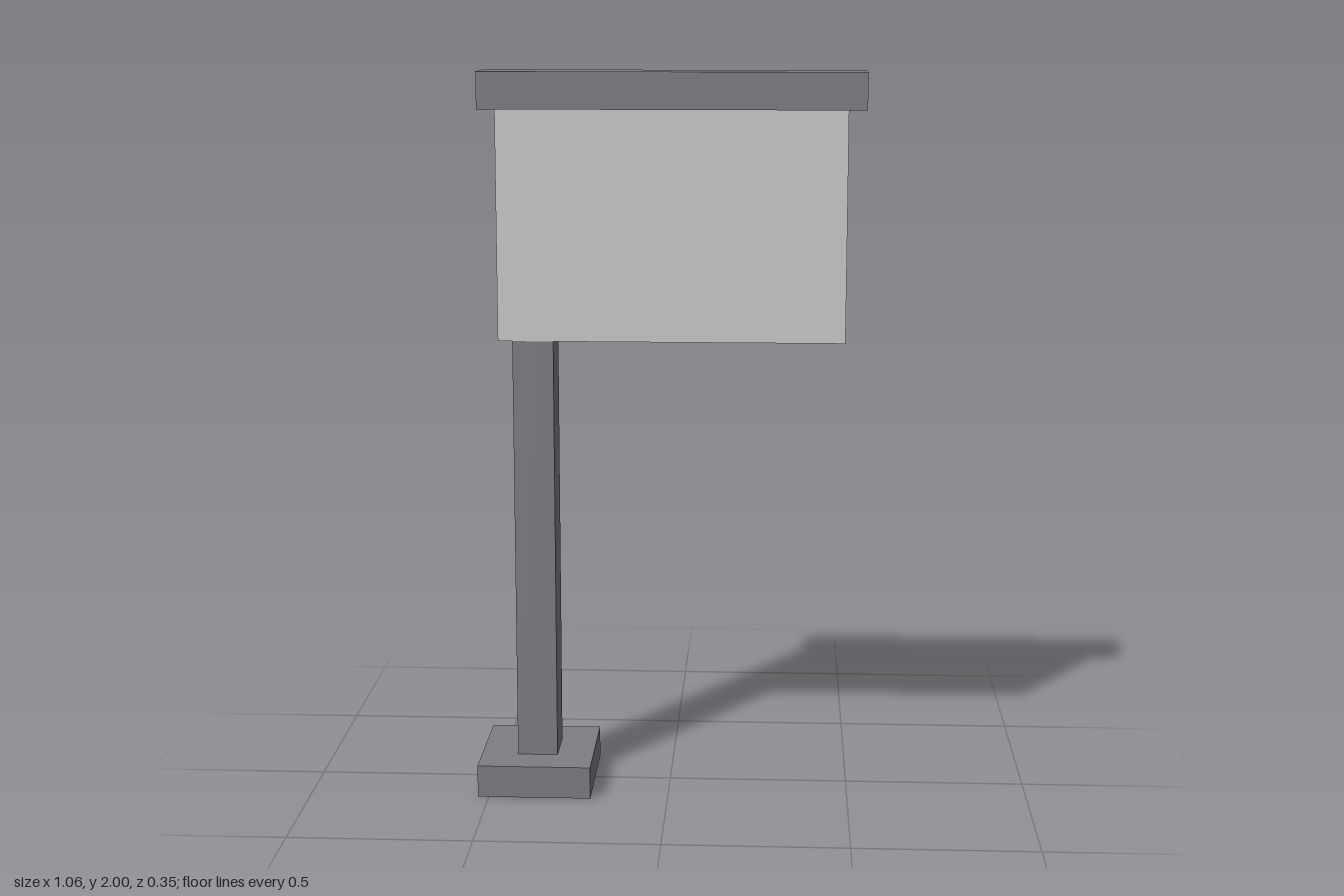
import * as THREE from 'three';

const dark = new THREE.MeshStandardMaterial({ color: 0x7e7f83 });
const light = new THREE.MeshStandardMaterial({ color: 0xcccccc });

// Box given by its extents on each axis
function block(name, [x0, x1], [y0, y1], [z0, z1], material = dark) {
  const mesh = new THREE.Mesh(new THREE.BoxGeometry(x1 - x0, y1 - y0, z1 - z0), material);
  mesh.position.set((x0 + x1) / 2, (y0 + y1) / 2, (z0 + z1) / 2);
  mesh.name = name;
  return mesh;
}

export function createModel() {
  const sign = new THREE.Group();
  sign.name = 'signpost';

  // Foot and upright, set to one side
  sign.add(block('base', [-0.53, -0.215], [0, 0.09], [-0.174, 0.174]));
  sign.add(block('post', [-0.428, -0.316], [0.09, 1.905], [-0.071, 0.071]));

  // Board with a light front face (+z is the fifth box side)
  const boardFaces = [dark, dark, dark, dark, light, dark];
  sign.add(block('board', [-0.467, 0.478], [1.274, 1.9], [-0.022, 0.074], boardFaces));

  // Cap rail along the top
  sign.add(block('topRail', [-0.514, 0.527], [1.9, 2], [-0.045, 0.088]));

  return sign;
}
